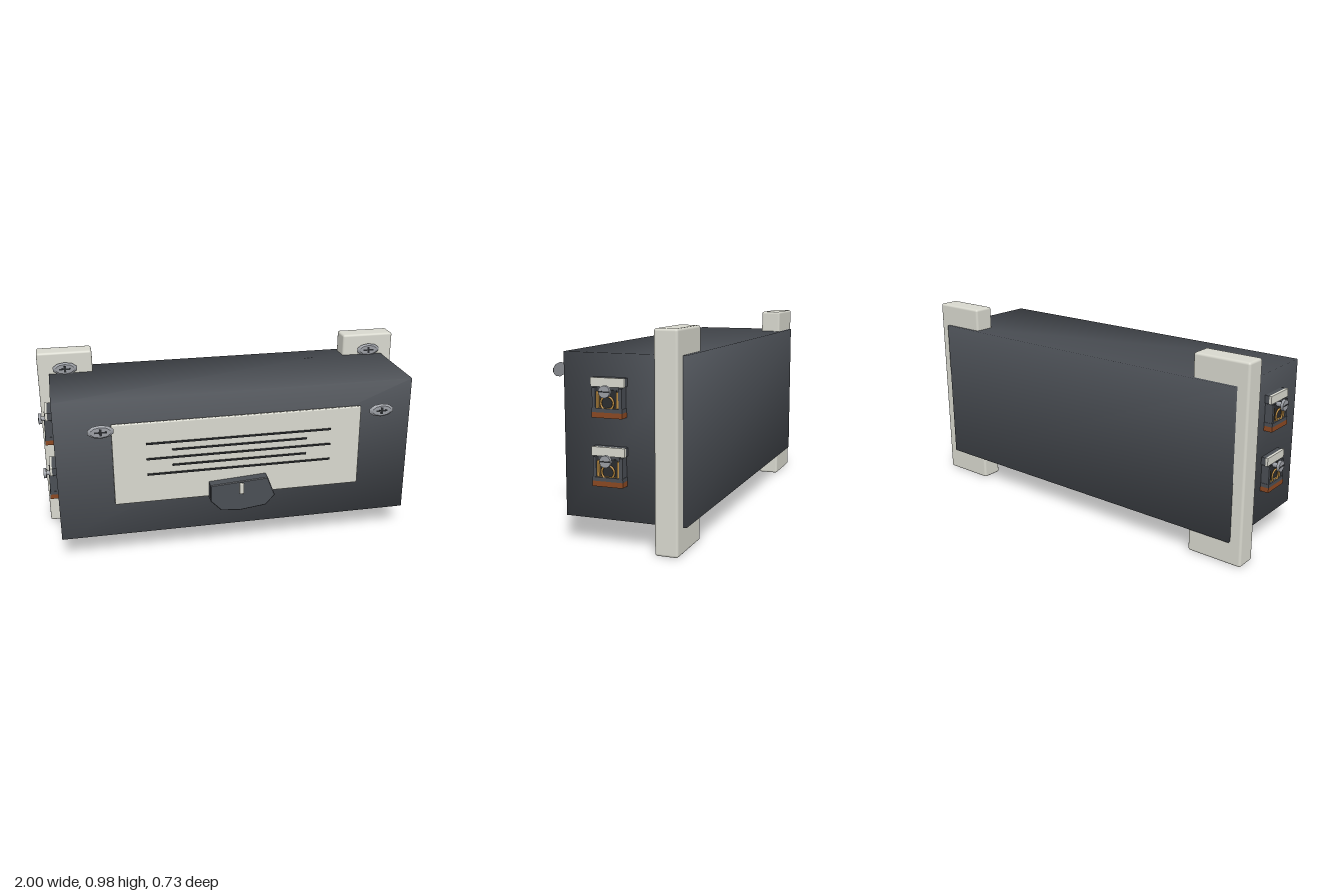
import * as THREE from 'three';
import { mergeVertices } from 'three/addons/utils/BufferGeometryUtils.js';
import { RoundedBoxGeometry } from 'three/addons/geometries/RoundedBoxGeometry.js';

const paint = (name, color) => {
  const m = new THREE.MeshStandardMaterial({ color });
  m.name = name;
  return m;
};

export function createModel() {
  const model = new THREE.Group();
  const charcoal = paint('charcoal', 0x4a4e54);
  const ivory = paint('ivory', 0xd8d8ce);
  const steel = paint('steel', 0x9a9da3);
  const black = paint('slot black', 0x2a2c2f);
  const brass = paint('brass', 0xb88a42);
  const copper = paint('copper', 0x8a4822);

  const add = (parent, name, geometry, material, x = 0, y = 0, z = 0) => {
    const mesh = new THREE.Mesh(geometry, material);
    mesh.name = name;
    mesh.position.set(x, y, z);
    parent.add(mesh);
    return mesh;
  };
  const box = (w, h, d) => new THREE.BoxGeometry(w, h, d);

  // Main case, a box with softened normals shared at its corners
  let caseGeometry = box(1.85, 0.745, 0.58);
  caseGeometry.deleteAttribute('normal');
  caseGeometry.deleteAttribute('uv');
  caseGeometry = mergeVertices(caseGeometry);
  caseGeometry.computeVertexNormals();
  add(model, 'case', caseGeometry, charcoal, -0.003, 0.4925, -0.075);

  // Oval screw with a cross slot, facing +z
  const screw = (name, x, y, z) => {
    const group = new THREE.Group();
    group.name = name;
    group.position.set(x, y, z);
    const head = new THREE.CylinderGeometry(0.05, 0.066, 0.01, 10).rotateX(Math.PI / 2).scale(1, 0.52, 1);
    add(group, 'screwHead', head, steel);
    add(group, 'screwSlot', box(0.06, 0.008, 0.003), black, 0, 0, 0.005);
    add(group, 'screwCrossSlot', box(0.012, 0.034, 0.003), black, 0, 0, 0.005);
    model.add(group);
  };

  // Mounting brackets at both ends, with their screws
  for (const s of [-1, 1]) {
    add(model, 'bracket', new RoundedBoxGeometry(0.288, 0.98, 0.108, 2, 0.012), ivory, s * 0.842, 0.49, -0.295);
    screw('upperBracketScrew', s * 0.843, 0.893, -0.226);
    screw('lowerBracketScrew', s * 0.843, 0.095, -0.226);
    screw('coverScrew', s * 0.705, 0.757, 0.36);
  }

  // Front cover plate and its thin vent lines
  add(model, 'coverPlate', new RoundedBoxGeometry(1.29, 0.435, 0.02, 2, 0.006), ivory, -0.003, 0.523, 0.234);
  [0.63, 0.589, 0.547, 0.505, 0.462].forEach((y, i) => {
    add(model, 'ventLine', box(i % 2 ? 0.7 : 0.96, 0.009, 0.006), black, 0, y, 0.25);
  });

  // Lever with a pale indicator
  const outline = [[-0.165, 0.39], [-0.165, 0.3], [-0.11, 0.243], [-0.01, 0.235], [0.125, 0.252], [0.175, 0.305], [0.135, 0.41]];
  const leverShape = new THREE.Shape(outline.map(([x, y]) => new THREE.Vector2(x, y)));
  add(model, 'lever', new THREE.ExtrudeGeometry(leverShape, {
    depth: 0.06, bevelEnabled: true, bevelSize: 0.004, bevelThickness: 0.004, bevelOffset: -0.004, bevelSegments: 1,
  }), charcoal, 0, 0, 0.234);
  add(model, 'indicator', new RoundedBoxGeometry(0.024, 0.06, 0.012, 2, 0.005), ivory, -0.004, 0.362, 0.303);

  // Wire terminals, two on each end; built facing +x
  for (const s of [-1, 1]) {
    for (const y of [0.675, 0.37]) {
      const t = new THREE.Group();
      t.name = 'terminal';
      t.position.set(s * 0.922, y, -0.015);
      if (s < 0) t.rotation.y = Math.PI;
      add(t, 'terminalBase', box(0.03, 0.135, 0.14), charcoal, 0.013, -0.02);
      add(t, 'topPlate', box(0.012, 0.04, 0.16), ivory, 0.035, 0.066);
      add(t, 'topBlock', box(0.035, 0.038, 0.156), charcoal, 0.014, 0.066);
      for (const k of [-1, 1]) {
        add(t, 'sideWall', box(0.045, 0.1, 0.016), charcoal, 0.024, -0.008, k * 0.063);
        add(t, 'brassPost', box(0.016, 0.075, 0.01), brass, 0.034, -0.012, k * 0.048);
      }
      add(t, 'brassBar', box(0.012, 0.008, 0.1), brass, 0.034, -0.05);
      add(t, 'innerBack', box(0.004, 0.08, 0.08), black, 0.029, -0.008);
      add(t, 'lowerSill', box(0.05, 0.018, 0.146), charcoal, 0.024, -0.056);
      add(t, 'copperStrip', box(0.05, 0.024, 0.146), copper, 0.024, -0.077);
      add(t, 'wireLoop', new THREE.TorusGeometry(0.03, 0.005, 8, 24).rotateY(Math.PI / 2), brass, 0.043, -0.024);
      const barrel = (r, h) => new THREE.CylinderGeometry(r, r * 1.02, h, 20).rotateZ(-Math.PI / 2);
      add(t, 'screwShank', barrel(0.012, 0.045), steel, 0.04, 0.029);
      add(t, 'terminalScrew', barrel(0.027, 0.014), steel, 0.067, 0.029);
      add(t, 'terminalSlot', box(0.003, 0.006, 0.05), black, 0.074, 0.029);
      model.add(t);
    }
  }
  return model;
}
